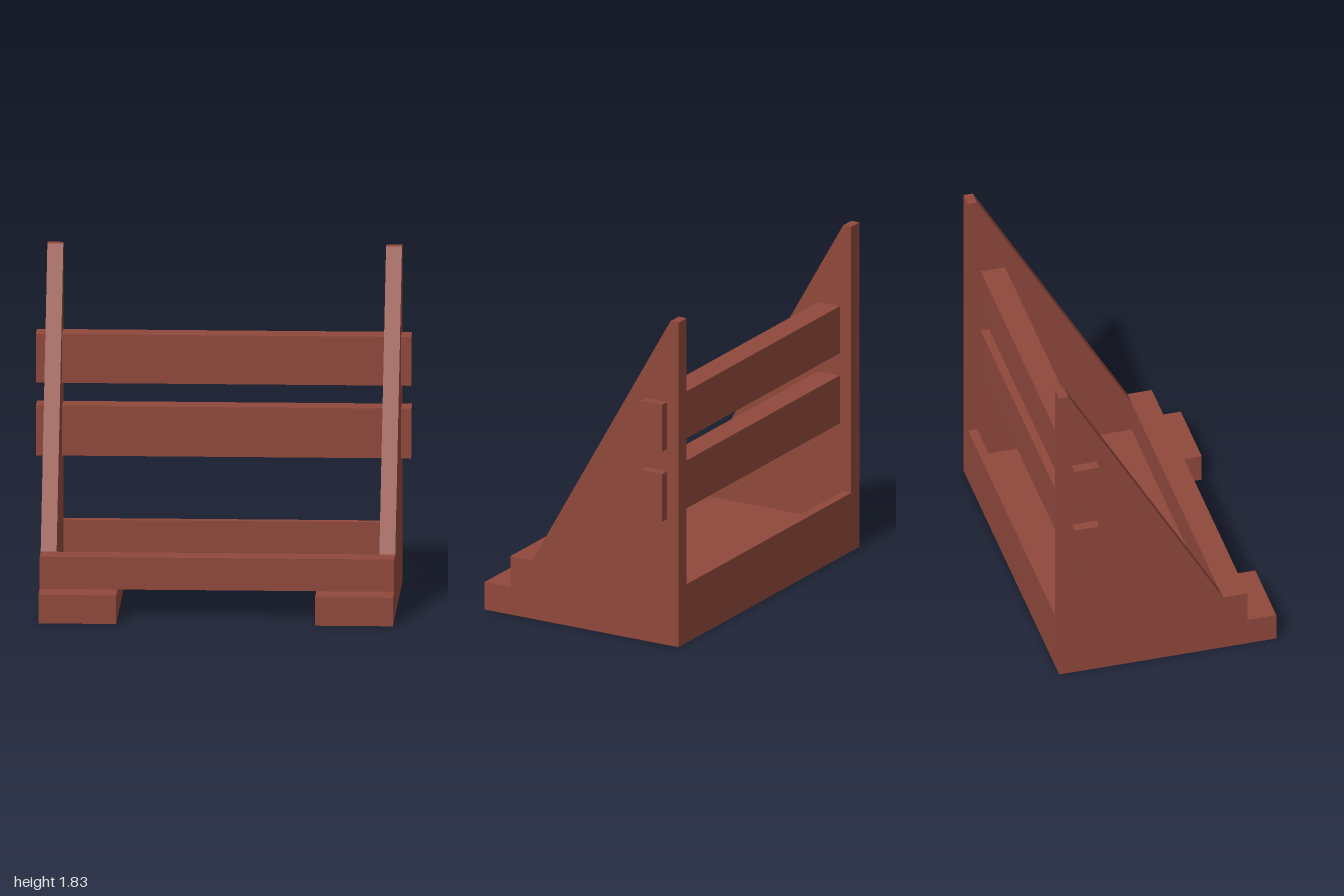
import * as THREE from 'three';

export function createModel() {
  const group = new THREE.Group();
  const wood = new THREE.MeshStandardMaterial({ color: 0x8f483b, side: THREE.DoubleSide });
  wood.name = 'red brown wood';

  const add = (name, geometry) => {
    const mesh = new THREE.Mesh(geometry, wood);
    mesh.name = name;
    group.add(mesh);
    return mesh;
  };

  // Sweeps an open [z, y] path across from x0 to x1 as flat panels.
  const strip = (name, x0, x1, path) => {
    const pos = [];
    for (let i = 0; i < path.length - 1; i++) {
      const [z0, y0] = path[i], [z1, y1] = path[i + 1];
      const a = [x0, y0, z0], b = [x1, y0, z0], c = [x1, y1, z1], d = [x0, y1, z1];
      pos.push(...a, ...b, ...c, ...a, ...c, ...d);
    }
    const g = new THREE.BufferGeometry();
    g.setAttribute('position', new THREE.Float32BufferAttribute(pos, 3));
    g.computeVertexNormals();
    return add(name, g);
  };

  // Flat upright sheet from a [z, y] outline at x, facing +x or -x.
  const sheet = (name, x, dir, outline) => {
    const shape = new THREE.Shape(outline.map(([z, y]) => new THREE.Vector2(-dir * z, y)));
    const g = new THREE.ShapeGeometry(shape);
    g.rotateY(dir * Math.PI / 2);
    add(name, g).position.x = x;
  };

  const outer = 0.945, inner = 0.86, footIn = 0.53;
  const front = 0.6, back = -0.6, low = 0.155, rim = 0.33, top = 1.83;
  const slope = [[0.305, rim], [-0.55, top], [back, top]];

  for (const s of [1, -1]) {
    const side = s > 0 ? 'left' : 'right';
    const span = (a, b) => (s > 0 ? [a, b] : [-b, -a]);

    // Tall tapering side panel
    sheet(side + 'SideOuter', s * outer, s,
      [[back, 0], [front, 0], [front, low], [0.44, low], [0.44, rim], ...slope]);
    sheet(side + 'SideInner', s * inner, -s, [[back, low], [0.305, low], ...slope]);
    strip(side + 'SideEdge', ...span(inner, outer), [...slope, [back, 0]]);

    // Hollow runner foot, open underneath
    strip(side + 'Foot', ...span(footIn, outer), [[front, 0], [front, low], [0.44, low]]);
    sheet(side + 'FootInnerWall', s * footIn, -s,
      [[back, 0], [front, 0], [front, low], [back, low]]);
  }

  // Tray: front board, floor and back board
  strip('frontBoard', -outer, outer, [[0.44, low], [0.44, rim], [0.305, rim]]);
  strip('trayFloor', -inner, inner,
    [[0.305, rim], [0.305, low], [-0.55, low], [-0.55, rim]]);
  strip('backBoard', -inner, inner, [[-0.55, rim], [back, rim], [back, 0]]);

  // Cross rails running through both side panels
  for (const [name, y0, y1] of [['lowerRail', 0.71, 0.98], ['upperRail', 1.105, 1.37]]) {
    add(name, new THREE.BoxGeometry(2, y1 - y0, 0.135)).position.set(0, (y0 + y1) / 2, -0.4625);
  }

  return group;
}
